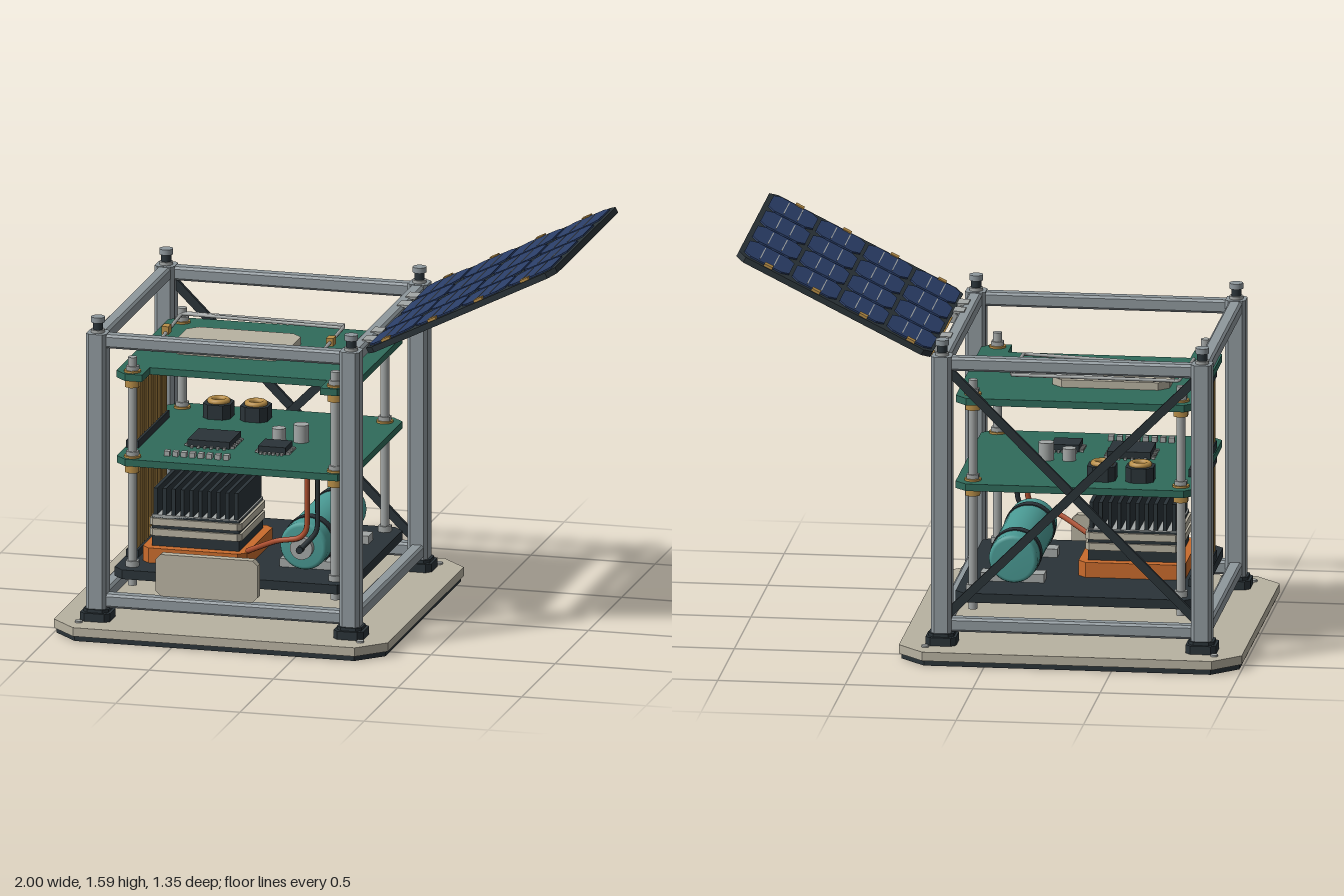
import * as THREE from 'three';

const mat = (name, color) => new THREE.MeshStandardMaterial({ name, color });

export function createModel() {
  const silver = mat('frameSilver', 0x8f989d), light = mat('lightMetal', 0xa3a7a6);
  const dark = mat('charcoal', 0x2a3338), beige = mat('beige', 0xb8b2a1);
  const green = mat('boardGreen', 0x2f6b5b), gold = mat('gold', 0xb98f48);
  const teal = mat('teal', 0x4a9a94), orange = mat('orange', 0xc96b2c);
  const blue = mat('cellBlue', 0x2a3e68), red = mat('hoseRed', 0xb0502f);
  const model = new THREE.Group();
  const CX = -0.327;

  const add = (name, geo, m, x = 0, y = 0, z = 0, parent = model) => {
    const mesh = new THREE.Mesh(geo, m);
    mesh.name = name;
    mesh.position.set(x, y, z);
    parent.add(mesh);
    return mesh;
  };
  const box = (w, h, d) => new THREE.BoxGeometry(w, h, d);
  const cyl = (r, h, n = 20, r2 = r) => new THREE.CylinderGeometry(r, r2, h, n);
  // extrudes an outline given in x and z upward from y = 0
  const prism = (pts, h) => {
    const s = new THREE.Shape(pts.map(([x, z]) => new THREE.Vector2(x, -z)));
    return new THREE.ExtrudeGeometry(s, { depth: h, bevelEnabled: false }).rotateX(-Math.PI / 2);
  };
  // upright slab with cut corners, base at y = 0
  const slab = (w, d, h, c) => {
    const a = w / 2, b = d / 2;
    return prism([[-a + c, -b], [a - c, -b], [a, -b + c], [a, b - c],
      [a - c, b], [-a + c, b], [-a, b - c], [-a, -b + c]], h);
  };
  const tube = (pts, r, smooth = 0) => {
    const v = pts.map(p => new THREE.Vector3(...p));
    const path = smooth ? new THREE.CatmullRomCurve3(v, false, 'catmullrom', 0.4) : new THREE.CurvePath();
    if (!smooth) for (let i = 1; i < v.length; i++) path.add(new THREE.LineCurve3(v[i - 1], v[i]));
    return new THREE.TubeGeometry(path, smooth || 48, r, 8);
  };
  const signs = [-1, 1];
  const corners = (dx, dz, fn) => signs.forEach(i => signs.forEach(k => fn(CX + i * dx, k * dz)));

  // base plate
  add('baseUnderside', slab(1.325, 1.33, 0.022, 0.1), dark, CX, 0, 0);
  add('basePlate', slab(1.345, 1.35, 0.035, 0.105), beige, CX, 0.021, 0);

  // feet, columns and top studs
  corners(0.51, 0.512, (x, z) => {
    add('foot', slab(0.12, 0.125, 0.034, 0.02), dark, x, 0.055, z);
    add('footCap', slab(0.1, 0.1, 0.015, 0.02), dark, x, 0.087, z);
    add('column', slab(0.08, 0.084, 1.11, 0.013), silver, x, 0.1, z);
    add('stud', cyl(0.02, 0.05), dark, x, 1.23, z);
    add('studCollar', cyl(0.027, 0.012), light, x, 1.216, z);
    add('studHead', cyl(0.027, 0.022), silver, x, 1.262, z);
  });
  corners(0.567, 0.59, (x, z) => add('baseBolt', cyl(0.015, 0.008), light, x, 0.059, z));

  // horizontal beams
  [0.105, 1.152].forEach(y => signs.forEach(s => {
    add('crossBeam', slab(0.055, 0.055, 0.95, 0.009).rotateZ(Math.PI / 2), silver, CX + 0.475, y + 0.028, s * 0.512);
    add('sideBeam', slab(0.055, 0.055, 0.95, 0.009).rotateX(Math.PI / 2), silver, CX + s * 0.51, y + 0.028, -0.475);
  }));

  // crossed braces at the rear
  signs.forEach(s => {
    const brace = add('rearBrace', box(1.36, 0.034, 0.018), dark, CX, 0.66, -0.51 + s * 0.01);
    brace.rotation.z = s * Math.PI / 4;
  });

  // equipment deck and two circuit boards
  add('equipmentDeck', slab(0.945, 0.875, 0.037, 0.04), dark, CX, 0.199, 0.003);
  add('middleBoard', slab(0.945, 0.855, 0.028, 0.045), green, CX, 0.648, -0.013);
  add('topBoard', prism([[-0.755, -0.44], [0.1, -0.44], [0.145, -0.395], [0.145, 0.37], [0.1, 0.415],
    [0.03, 0.415], [0.03, 0.3], [-0.685, 0.3], [-0.685, 0.415], [-0.755, 0.415], [-0.8, 0.37], [-0.8, -0.395]], 0.028),
    green, 0, 0.992, 0);

  // stacking rods with nuts
  corners(0.408, 0.372, (x, z) => {
    add('rod', cyl(0.018, 0.92, 16), light, x, 0.62, z);
    [0.632, 0.976].forEach(y => add('hexSpacer', cyl(0.031, 0.032, 6), gold, x, y, z));
    [0.681, 1.025].forEach(y => {
      add('washer', cyl(0.033, 0.008), gold, x, y - 0.001, z);
      add('nut', cyl(0.027, 0.02, 6), light, x, y + 0.01, z);
    });
    add('deckNut', cyl(0.028, 0.025, 6), light, x, 0.247, z);
  });

  // stacking connectors with gold pins
  [0.236, 0.618, 0.676, 0.962].forEach(y => add('pinHeader', box(0.05, 0.03, 0.465), dark, -0.77, y + 0.015, 0.015));
  [[0.25, 0.63], [0.69, 0.975]].forEach(([a, b]) => {
    for (let i = 0; i < 14; i++) {
      signs.forEach(s => add('pin', box(0.012, b - a, 0.019), gold, -0.772 + s * 0.012, (a + b) / 2, 0.23 - i * 0.0335));
    }
  });

  // antenna patch and wires on the top board
  add('antennaPatch', slab(0.46, 0.305, 0.03, 0.04), beige, -0.436, 1.02, -0.067);
  add('antennaWireA', tube([[-0.715, 1.05, 0.17], [-0.715, 1.078, -0.29], [-0.05, 1.078, -0.25]], 0.007), light);
  add('antennaWireB', tube([[-0.7, 1.08, -0.295], [-0.055, 1.08, -0.285], [-0.055, 1.065, 0.105], [-0.56, 1.058, 0.055]], 0.007), light);
  [-0.718, -0.055].forEach(x => add('antennaClip', box(0.028, 0.032, 0.045), gold, x, 1.073, -0.073));

  // parts on the middle board
  [[-0.48, 0.1, 0.17], [-0.22, 0.15, 0.11]].forEach(([x, z, w]) => {
    add('chip', box(w, 0.028, w), dark, x, 0.694, z);
    for (let i = 0; i < 6; i++) {
      const o = (i - 2.5) * w / 6.5;
      add('chipLegs', box(w + 0.03, 0.008, 0.01), light, x, 0.682, z + o);
      add('chipLegs', box(0.01, 0.008, w + 0.03), light, x + o, 0.682, z);
    }
  });
  [-0.565, -0.415].forEach(x => {
    add('coilBody', slab(0.11, 0.115, 0.058, 0.025), dark, x, 0.676, -0.287);
    add('coilRing', new THREE.TorusGeometry(0.034, 0.012, 10, 24).rotateX(Math.PI / 2), gold, x, 0.739, -0.287);
  });
  add('capacitor', cyl(0.031, 0.072, 24), light, -0.16, 0.71, -0.015);
  add('shortCapacitor', cyl(0.027, 0.05, 24), light, -0.25, 0.7, -0.015);
  for (let i = 0; i < 8; i++) add('terminal', box(0.022, 0.022, 0.028), light, -0.61 + i * 0.034, 0.685, 0.315);

  // tank with straps, cradles and valve
  const TX = -0.067, TY = 0.343;
  const tank = [[0, -0.305], [0.08, -0.305], [0.091, -0.3], [0.096, -0.288], [0.096, 0.288], [0.091, 0.3], [0.08, 0.307], [0, 0.307]];
  add('tank', new THREE.LatheGeometry(tank.map(p => new THREE.Vector2(...p)), 40).rotateX(Math.PI / 2), teal, TX, TY, 0);
  [0.2, -0.2].forEach(z => {
    add('tankStrap', cyl(0.1, 0.045, 40).rotateX(Math.PI / 2), dark, TX, TY, z);
    add('tankCradle', box(0.25, 0.034, 0.07), light, -0.055, 0.252, z);
  });
  add('valveFlange', cyl(0.045, 0.03, 24).rotateX(Math.PI / 2), light, TX, TY, 0.32);
  add('valveNozzle', cyl(0.014, 0.03, 16).rotateX(Math.PI / 2), dark, TX, TY, 0.348);

  // hoses
  add('redHose', tube([[-0.04, 0.645, 0.345], [-0.04, 0.53, 0.345], [-0.042, 0.43, 0.345], [-0.075, 0.388, 0.345],
    [-0.17, 0.365, 0.33], [-0.3, 0.3, 0.27]], 0.011, 48), red);
  add('darkHose', tube([[0, 0.645, 0.335], [0, 0.53, 0.335], [-0.005, 0.42, 0.335], [-0.06, 0.35, 0.345]], 0.01, 32), dark);

  // finned instrument stack
  const SX = -0.508, SZ = 0.093;
  add('stackBase', slab(0.42, 0.44, 0.06, 0.03), orange, SX, 0.236, SZ);
  add('stackCore', box(0.35, 0.125, 0.36), dark, SX, 0.355, SZ);
  [[0.316, 0.34], [0.338, 0.37], [0.38, 0.37]].forEach(([y, w]) => add('stackPlate', slab(w, w + 0.01, 0.028, 0.015), y < 0.33 ? light : beige, SX, y, SZ));
  add('stackTop', box(0.35, 0.014, 0.36), light, SX, 0.414, SZ);
  for (let i = 0; i < 10; i++) add('coolingFin', box(0.015, 0.108, 0.355), dark, SX - 0.162 + i * 0.036, 0.474, SZ);

  // connector panel at the front
  add('connectorHousing', prism([[-0.205, 0], [0.205, 0], [0.205, -0.145], [0.185, -0.165], [-0.185, -0.165], [-0.205, -0.145]], 0.036)
    .rotateX(Math.PI / 2).scale(1, 1, 1), beige, -0.4, 0.162, 0.475).visible = true;
  const housing = model.getObjectByName('connectorHousing');
  housing.geometry.dispose();
  housing.geometry = slab(0.41, 0.168, 0.036, 0.02).rotateX(Math.PI / 2);
  housing.position.set(-0.4, 0.246, 0.476);
  add('connectorFace', slab(0.315, 0.125, 0.008, 0.02).rotateX(Math.PI / 2), dark, -0.396, 0.238, 0.483);
  for (let i = 0; i < 4; i++) {
    [0.212, 0.26].forEach(y => add('contact', cyl(0.016, 0.009, 16).rotateX(Math.PI / 2), gold, -0.49 + i * 0.05, y, 0.485));
  }
  [-0.528, -0.264].forEach(x => add('connectorScrew', cyl(0.013, 0.008, 6).rotateX(Math.PI / 2), silver, x, 0.24, 0.484));

  // hinged solar panel
  const panel = new THREE.Group();
  panel.name = 'solarPanel';
  panel.position.set(0.235, 1.195, 0);
  panel.rotation.z = 0.463;
  model.add(panel);
  add('panelBoard', slab(0.85, 0.98, 0.024, 0.035), dark, 0.423, -0.01, 0, panel);
  for (let i = 0; i < 4; i++) {
    const x = 0.107 + i * 0.208;
    for (let k = 0; k < 4; k++) {
      const z = -0.356 + k * 0.2375;
      add('solarCell', slab(0.195, 0.217, 0.006, 0.03), blue, x, 0.014, z, panel);
      signs.forEach(s => add('cellLine', box(0.004, 0.002, 0.17), light, x + s * 0.03, 0.0205, z, panel));
    }
    signs.forEach(s => add('cellTab', box(0.036, 0.012, 0.03), gold, x - 0.012, 0.018, s * 0.468, panel));
  }
  add('hingeStrip', box(0.02, 0.012, 0.8), gold, 0.002, -0.012, 0, panel);

  // hinges
  [-0.325, -0.2, 0.2, 0.325].forEach(z => {
    add('hingeBarrel', cyl(0.02, 0.072).rotateX(Math.PI / 2), light, 0.228, 1.183, z);
    add('hingeLeaf', box(0.045, 0.01, 0.072), light, 0.208, 1.207, z);
  });
  return model;
}
